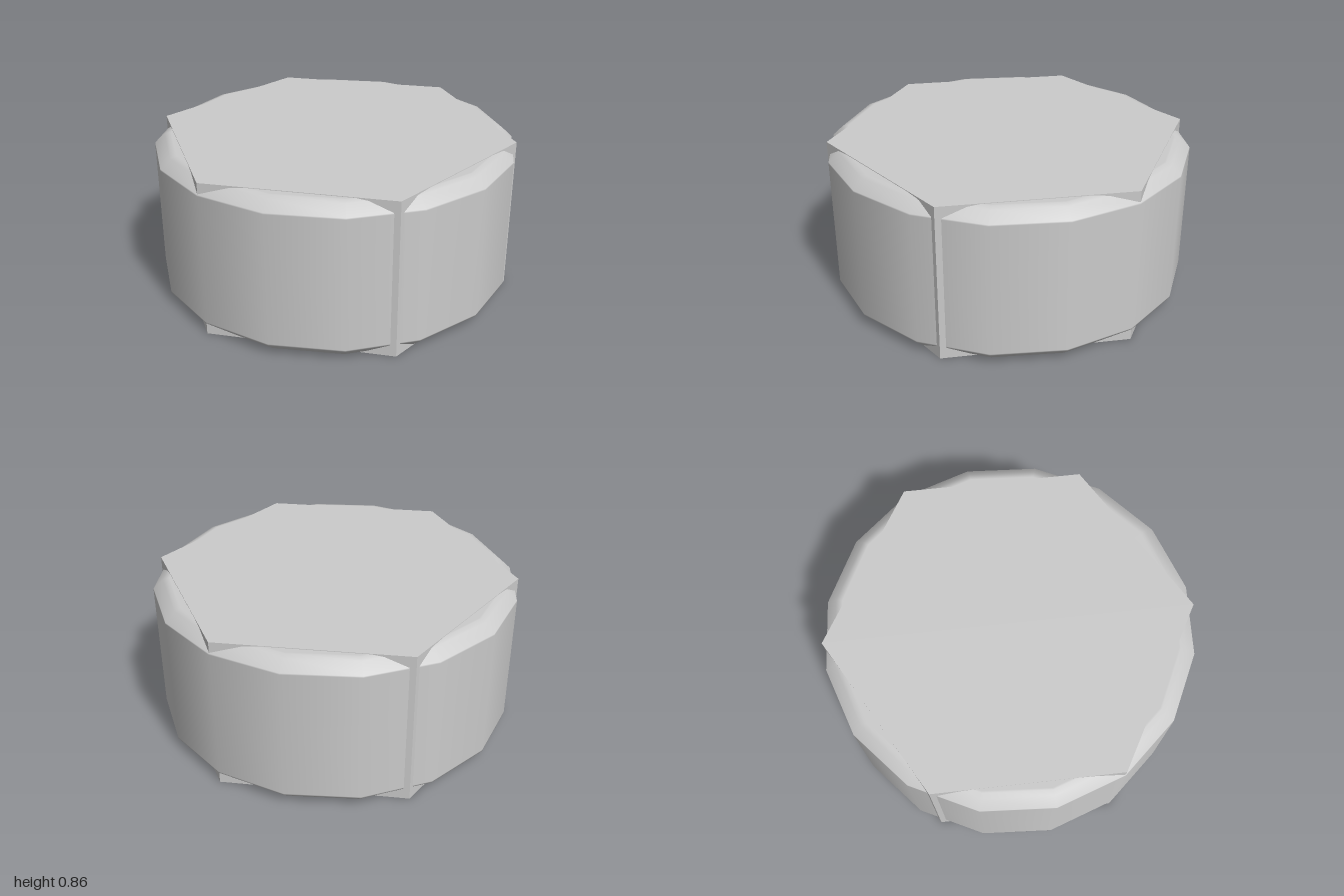
import * as THREE from 'three';

export function createModel() {
  const group = new THREE.Group();
  const height = 0.86;

  const add = (name, geometry, options = {}) => {
    const mesh = new THREE.Mesh(geometry, new THREE.MeshStandardMaterial({ color: 0xcccccc, ...options }));
    mesh.name = name;
    group.add(mesh);
    return mesh;
  };

  // Sixteen-sided drum with softly bevelled rims, mirrored about mid height;
  // the close pairs of points keep the wall and caps flat in shading
  const lower = [[0, 0.003], [0.905, 0.003], [0.915, 0.003], [0.943, 0.012], [0.997, 0.062], [0.998, 0.07]];
  const upper = lower.map(([r, y]) => [r, height - y]).reverse();
  const profile = [...lower, ...upper].map(([r, y]) => new THREE.Vector2(r, y));
  add('roundBody', new THREE.LatheGeometry(profile, 16));

  // Hexagonal core whose corners poke through the drum
  const core = add('hexagonalCore', new THREE.CylinderGeometry(0.995, 0.995, height, 6), { flatShading: true });
  core.rotation.y = Math.PI / 2;
  core.position.y = height / 2;

  return group;
}
